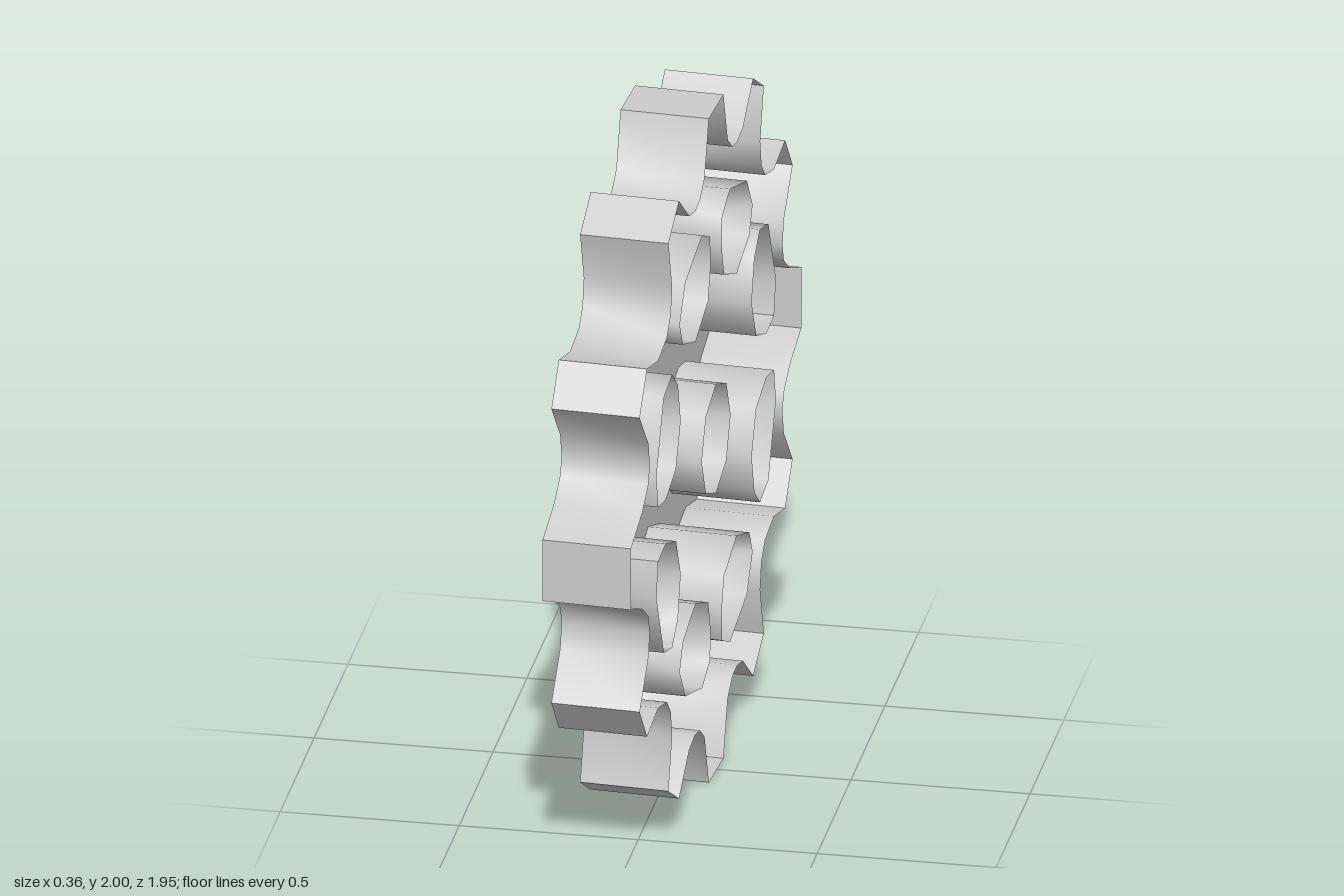
import * as THREE from 'three';
import { toCreasedNormals } from 'three/addons/utils/BufferGeometryUtils.js';

const HALF = 0.125; // half the depth of the wheel
const material = new THREE.MeshStandardMaterial({ color: 0xcccccc, side: THREE.DoubleSide });

const toPoints = (list) => list.map(([x, y]) => new THREE.Vector2(x, y));
const mirror = (pts, sx, sy) => pts.map((p) => new THREE.Vector2(p.x * sx, p.y * sy));

// One quarter of the toothed outline, from the top tooth round to the side tooth
const quarter = toPoints([
  [0.083, 1], [0.132, 0.841], [0.185, 0.798], [0.238, 0.788], [0.306, 0.804],
  [0.421, 0.9], [0.542, 0.825], [0.5, 0.676], [0.516, 0.597], [0.558, 0.549],
  [0.658, 0.523], [0.785, 0.554], [0.869, 0.443], [0.769, 0.321], [0.754, 0.252],
  [0.769, 0.199], [0.837, 0.146], [0.968, 0.092],
]);

// The two cut-outs of one quarter
const upperHole = toPoints([
  [0.414, 0.523], [0.377, 0.448], [0.233, 0.395], [0.09, 0.454],
  [0.064, 0.544], [0.069, 0.639], [0.159, 0.682], [0.35, 0.623],
]);
const sideHole = toPoints([
  [0.499, 0.411], [0.435, 0.353], [0.403, 0.231], [0.456, 0.109],
  [0.573, 0.066], [0.658, 0.082], [0.679, 0.183], [0.594, 0.385],
]);

// Open wall that follows a closed outline through the full depth
function wall(outline) {
  const pts = THREE.ShapeUtils.area(outline) < 0 ? [...outline].reverse() : outline;
  const position = [];
  const index = [];
  const n = pts.length;
  pts.forEach((p, i) => {
    position.push(p.x, p.y, -HALF, p.x, p.y, HALF);
    const a = 2 * i;
    const b = 2 * ((i + 1) % n);
    index.push(a, b, b + 1, a, b + 1, a + 1);
  });
  const geometry = new THREE.BufferGeometry();
  geometry.setAttribute('position', new THREE.Float32BufferAttribute(position, 3));
  geometry.setIndex(index);
  return toCreasedNormals(geometry, 1.1);
}

export function createModel() {
  const model = new THREE.Group();
  model.name = 'sprocketWheel';
  const wheel = new THREE.Group();
  wheel.name = 'wheel';
  const add = (name, geometry) => {
    const mesh = new THREE.Mesh(geometry, material);
    mesh.name = name;
    wheel.add(mesh);
    return mesh;
  };

  // Full outline: the quarter mirrored round the wheel
  const outline = [
    ...quarter,
    ...mirror(quarter, 1, -1).reverse(),
    ...mirror(quarter, -1, -1),
    ...mirror(quarter, -1, 1).reverse(),
  ];

  // Octagonal axle hole and eight cut-outs
  const axleHole = [];
  for (let i = 0; i < 8; i++) {
    const a = (i * Math.PI) / 4;
    axleHole.push(new THREE.Vector2(0.164 * Math.cos(a), 0.164 * Math.sin(a)));
  }
  const cutouts = [];
  for (const sx of [1, -1]) {
    for (const sy of [1, -1]) {
      cutouts.push(mirror(upperHole, sx, sy), mirror(sideHole, sx, sy));
    }
  }

  // Flat face plate closing one end
  const shape = new THREE.Shape(outline);
  shape.holes = [axleHole, ...cutouts].map((pts) => new THREE.Path(pts));
  const plate = add('facePlate', new THREE.ShapeGeometry(shape).rotateY(Math.PI));
  plate.position.z = -HALF;

  // Toothed rim and the tubes behind the holes, open at the other end
  add('toothedRim', wall(outline));
  add('axleTube', wall(axleHole));
  cutouts.forEach((pts, i) => add(`spokeTube${i + 1}`, wall(pts)));

  // Stand the wheel upright, turned slightly about the vertical
  wheel.rotation.y = Math.PI / 2 - 0.057;
  wheel.position.y = 1;
  model.add(wheel);
  return model;
}
